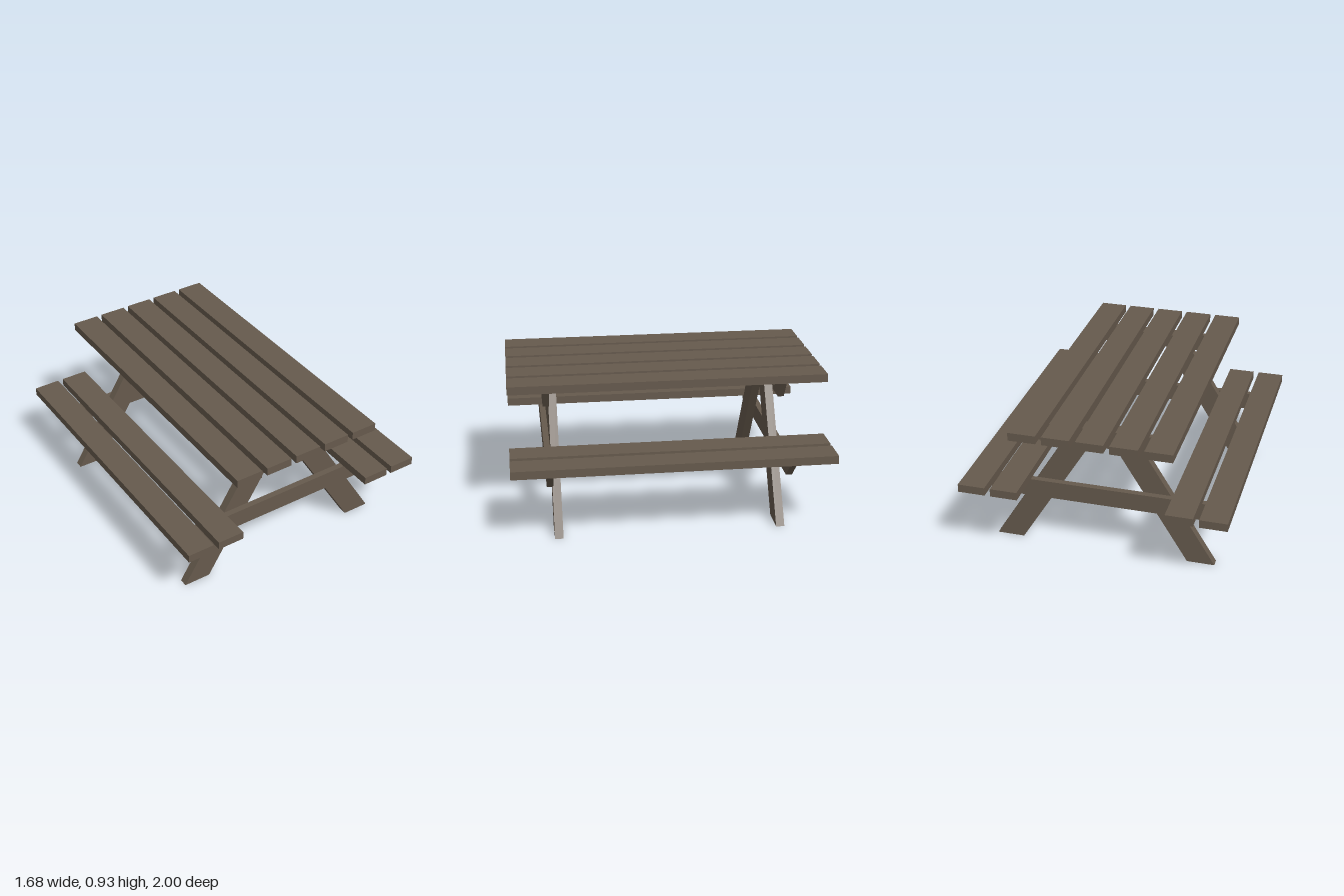
import * as THREE from 'three';

const wood = new THREE.MeshStandardMaterial({ color: 0x665a4d });
wood.name = 'weathered wood';

const TOP_Y = 0.877, SEAT_Y = 0.464, PLANK_H = 0.052, PLANK_W = 0.172;

// Flat board: an outline in x/y with a thickness running from z0 to z1
function board(name, points, z0, z1) {
  const shape = new THREE.Shape(points.map(([x, y]) => new THREE.Vector2(x, y)));
  const geometry = new THREE.ExtrudeGeometry(shape, { depth: z1 - z0, bevelEnabled: false });
  geometry.translate(0, 0, z0);
  const mesh = new THREE.Mesh(geometry, wood);
  mesh.name = name;
  return mesh;
}

// Full-length plank lying along z
function plank(name, x, y) {
  const mesh = new THREE.Mesh(new THREE.BoxGeometry(PLANK_W, PLANK_H, 2), wood);
  mesh.name = name;
  mesh.position.set(x, y + PLANK_H / 2, 0);
  return mesh;
}

// Crosspiece with slanted ends, narrower at the bottom
function crosspiece(name, topHalf, bottomHalf, topY, z0, z1) {
  const bottomY = topY - 0.117;
  return board(name, [[-bottomHalf, bottomY], [bottomHalf, bottomY], [topHalf, topY], [-topHalf, topY]], z0, z1);
}

export function createModel() {
  const model = new THREE.Group();
  model.name = 'picnicTable';

  // Table top
  const tableTop = new THREE.Group();
  tableTop.name = 'tableTop';
  for (let i = -2; i <= 2; i++) tableTop.add(plank('tablePlank', -0.005 + i * 0.2083, TOP_Y));
  model.add(tableTop);

  // Two-plank bench on each side
  for (const side of [-1, 1]) {
    const bench = new THREE.Group();
    bench.name = side > 0 ? 'leftBench' : 'rightBench';
    for (const x of [0.547, 0.755]) bench.add(plank('benchPlank', side * x, SEAT_Y));
    model.add(bench);
  }

  // End frames: splayed legs, with the crosspieces on their outer faces
  const frames = [
    { name: 'frontFrame', leg: [0.69, 0.743], cross: [0.743, 0.782] },
    { name: 'backFrame', leg: [-0.706, -0.653], cross: [-0.745, -0.706] },
  ];
  for (const { name, leg, cross } of frames) {
    const frame = new THREE.Group();
    frame.name = name;
    // Listed counter-clockwise; the shape triangulation fixes the mirrored winding
    for (const side of [-1, 1]) {
      const outline = [[0.54, 0], [0.715, 0], [0.175, TOP_Y], [0, TOP_Y]];
      frame.add(board(side > 0 ? 'leftLeg' : 'rightLeg', outline.map(([x, y]) => [side * x, y]), ...leg));
    }
    frame.add(crosspiece('tableSupport', 0.475, 0.4, TOP_Y, ...cross));
    frame.add(crosspiece('benchSupport', 0.82, 0.698, SEAT_Y, ...cross));
    model.add(frame);
  }

  return model;
}
